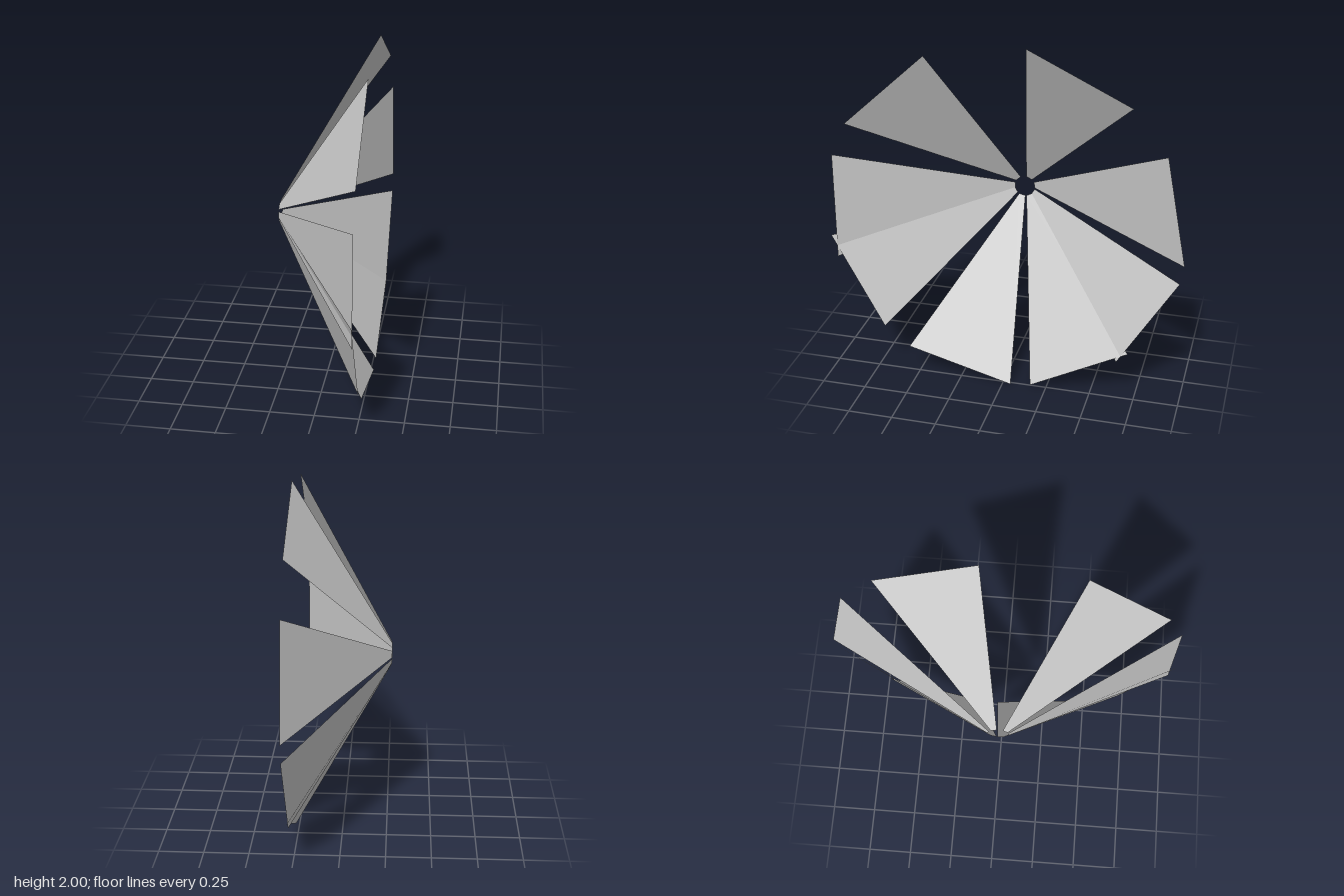
import * as THREE from 'three';

const OUTER = 1.005, INNER = 0.06, DEPTH = 0.535;
const SPREAD = THREE.MathUtils.degToRad(36);
// Blade centre angles in degrees, measured from +z towards +y
const ANGLES = [0, 47.7, 115.7, 169.3, 211.4, 242.5, 285.1, 331.6];

export function createModel() {
  const model = new THREE.Group();
  model.name = 'bladeFan';

  const grey = new THREE.MeshStandardMaterial({ color: 0xcccccc, flatShading: true, side: THREE.DoubleSide });
  grey.name = 'lightGrey';

  // Each blade is one flat facet of a ten-sided open cone around the x axis
  ANGLES.forEach((deg, i) => {
    const start = -THREE.MathUtils.degToRad(deg) - SPREAD / 2;
    const geometry = new THREE.CylinderGeometry(OUTER, INNER, DEPTH, 1, 1, true, start, SPREAD);
    geometry.rotateZ(-Math.PI / 2);
    const blade = new THREE.Mesh(geometry, grey);
    blade.name = `blade${i + 1}`;
    blade.position.set(0, 1.005, 0.005);
    model.add(blade);
  });

  return model;
}
